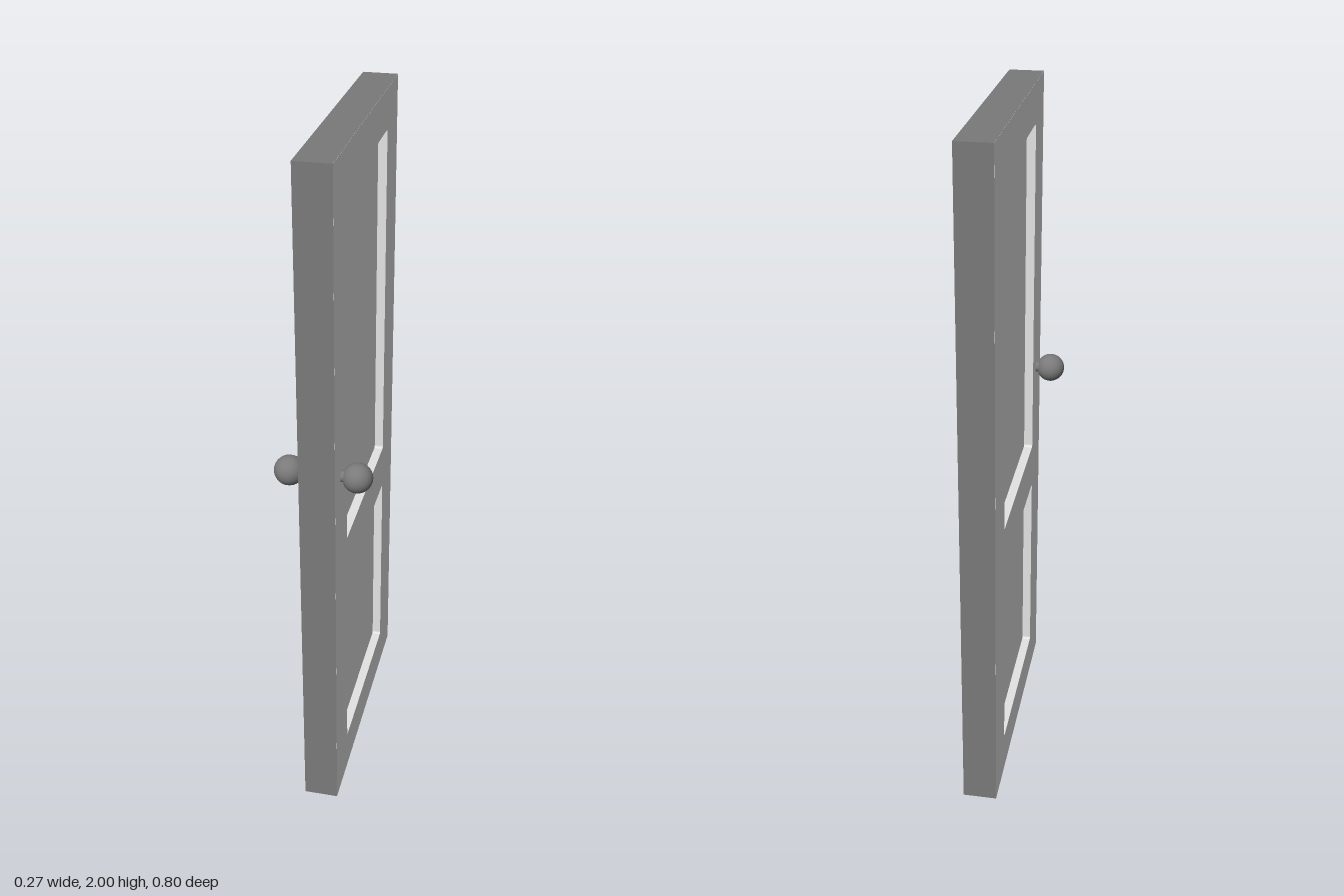
import * as THREE from 'three';

const W = 0.8, H = 2, T = 0.1, RECESS = 0.026;

function mesh(name, geometry, material, parent) {
  const m = new THREE.Mesh(geometry, material);
  m.name = name;
  parent.add(m);
  return m;
}

// Rounded rectangle outline, used for the recessed fields
function roundedRect(x0, y0, x1, y1, r) {
  const p = new THREE.Path();
  p.moveTo(x0 + r, y0);
  p.lineTo(x1 - r, y0);
  p.quadraticCurveTo(x1, y0, x1, y0 + r);
  p.lineTo(x1, y1 - r);
  p.quadraticCurveTo(x1, y1, x1 - r, y1);
  p.lineTo(x0 + r, y1);
  p.quadraticCurveTo(x0, y1, x0, y1 - r);
  p.lineTo(x0, y0 + r);
  p.quadraticCurveTo(x0, y0, x0 + r, y0);
  return p;
}

export function createModel() {
  const pale = new THREE.MeshStandardMaterial({ color: 0xe4e4e4 });
  pale.name = 'paleFace';
  const dark = new THREE.MeshStandardMaterial({ color: 0x7a7a7a });
  dark.name = 'darkEdge';

  const door = new THREE.Group();
  door.name = 'door';

  // Dark band around the four narrow edges: a box without its two broad faces
  const band = new THREE.BoxGeometry(T, H, W);
  band.setIndex(Array.from(band.index.array).slice(12));
  band.clearGroups();
  mesh('edgeBand', band, dark, door).position.y = H / 2;

  // Core slab that forms the floor of the recesses
  const core = new THREE.BoxGeometry(T - 2 * RECESS, H - 0.1, W - 0.1);
  mesh('corePanel', core, pale, door).position.y = H / 2;

  // Framed face with two recessed fields, one on each side
  const gap = 0.0005;
  for (const side of [1, -1]) {
    const shape = new THREE.Shape();
    shape.moveTo(-W / 2 + gap, gap);
    shape.lineTo(W / 2 - gap, gap);
    shape.lineTo(W / 2 - gap, H - gap);
    shape.lineTo(-W / 2 + gap, H - gap);
    shape.closePath();
    for (const [y0, y1] of [[0.122, 0.727], [0.863, 1.885]]) {
      shape.holes.push(roundedRect(-0.257, y0, 0.257, y1, 0.008));
    }
    const frame = new THREE.ExtrudeGeometry(shape, { depth: RECESS, bevelEnabled: false, curveSegments: 4 });
    frame.translate(0, 0, T / 2 - RECESS);
    frame.rotateY(side * Math.PI / 2);
    mesh(side > 0 ? 'leftFrame' : 'rightFrame', frame, pale, door);

    // Knob: shaft, flat collar and ball, built along +y and turned outwards
    const knob = new THREE.Group();
    knob.name = side > 0 ? 'leftKnob' : 'rightKnob';
    mesh('shaft', new THREE.CylinderGeometry(0.016, 0.016, 0.03, 24), dark, knob).position.y = 0.005;
    mesh('collar', new THREE.CylinderGeometry(0.024, 0.024, 0.002, 24), dark, knob).position.y = 0.011;
    const ball = new THREE.SphereGeometry(0.042, 28, 18, 0, Math.PI * 2, 0, Math.PI - 0.607);
    mesh('ball', ball, dark, knob).position.y = 0.0445;
    knob.rotation.z = -side * Math.PI / 2;
    knob.position.set(side * T / 2, 1.111, 0.324);
    door.add(knob);
  }
  return door;
}
